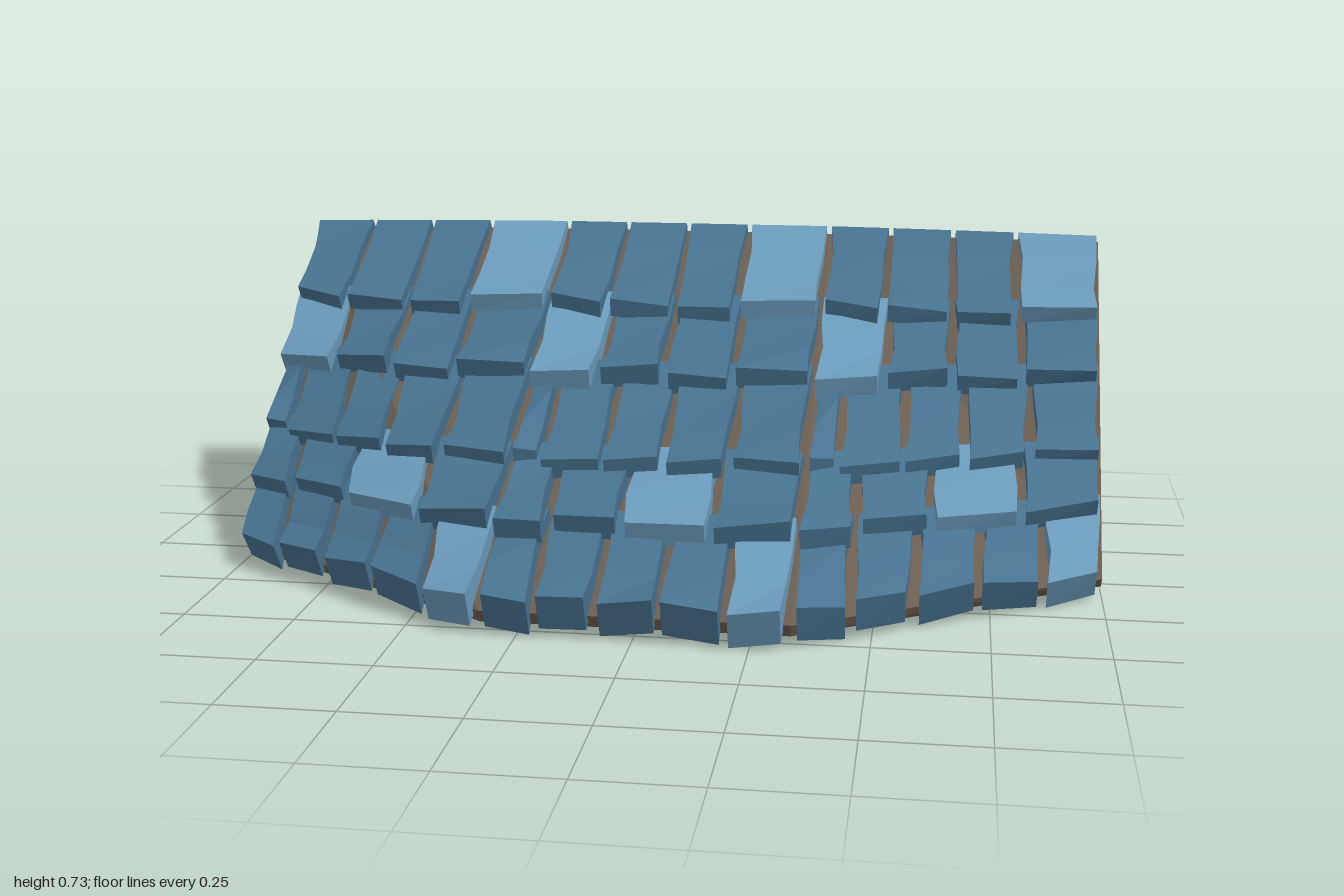
import * as THREE from 'three';

const THIRD = 2 / 3, BOARD = 0.035;
const XS = [-1, -1 / 3, 1 / 3, 1];

// Repeatable noise in -1..1
function noise(...keys) {
  let v = 0;
  keys.forEach((k, i) => { v += k * (12.9898 + i * 37.719); });
  v = Math.sin(v) * 43758.5453;
  return 2 * (v - Math.floor(v)) - 1;
}

// Point on the bent roof: t runs from ridge (0) to eave (1), h is height above the underside
function roofPoint(x, t, h) {
  const u = Math.max(0, (Math.abs(x) - 1 / 3) * 1.5);
  const run = 1.09 - 0.43 * u, rise = 0.665, len = Math.hypot(run, rise);
  let w = u * t;
  if (x < 0) w = (w + Math.max(0, u + t - 1)) / 2; // the left panel folds outward
  return [x, 0.69 - rise * t + (run / len) * h, -0.59 + 1.09 * t - 0.43 * w + (rise / len) * h];
}

// Three-panel wooden deck under the tiles
function deckGeometry() {
  const pos = [], index = [];
  for (const x of XS) for (const t of [0, 1]) for (const h of [0, BOARD]) pos.push(...roofPoint(x, t, h));
  const id = (i, j, k) => i * 4 + j * 2 + k;
  const quad = (a, b, c, d) => index.push(a, b, c, a, c, d);
  for (let i = 0; i < 3; i++) {
    const n = i + 1;
    quad(id(i, 0, 1), id(i, 1, 1), id(n, 1, 1), id(n, 0, 1)); // upper face
    quad(id(i, 0, 0), id(n, 0, 0), id(n, 1, 0), id(i, 1, 0)); // underside
    quad(id(i, 0, 0), id(i, 0, 1), id(n, 0, 1), id(n, 0, 0)); // ridge edge
    quad(id(i, 1, 0), id(n, 1, 0), id(n, 1, 1), id(i, 1, 1)); // eave edge
  }
  quad(id(3, 0, 0), id(3, 0, 1), id(3, 1, 1), id(3, 1, 0)); // side edges
  quad(id(0, 0, 0), id(0, 1, 0), id(0, 1, 1), id(0, 0, 1));
  const g = new THREE.BufferGeometry();
  g.setAttribute('position', new THREE.Float32BufferAttribute(pos, 3));
  g.setIndex(index);
  const flat = g.toNonIndexed();
  flat.computeVertexNormals();
  return flat;
}

// One rough tile: a box bent onto the roof, thicker and lifted at its lower end
function tileGeometry(x0, x1, row, seed) {
  const g = new THREE.BoxGeometry(1, 1, 1, 1, 1, 3).toNonIndexed();
  const p = g.attributes.position;
  for (let i = 0; i < p.count; i++) {
    const side = p.getX(i) > 0 ? 1 : 0, top = p.getY(i) > 0, s = p.getZ(i) + 0.5;
    const st = Math.round(s * 3);
    const sag = 0.008 * Math.sin(Math.PI * s);
    let h = BOARD + (top
      ? row.start + (row.lift - row.start) * s - sag
      : -0.005 + (row.under + 0.005) * s - sag);
    if (st > 0) h += 0.010 * noise(seed, side, st);
    let t = row.t0 + (row.t1 - row.t0) * s;
    if (st === 3) t += 0.014 * noise(seed, side, 7) + (top ? 0 : 0.01);
    let x = side ? x1 - 0.006 : x0 + 0.006;
    if (st > 0) x += (side ? -1 : 1) * 0.006 * (1 + noise(seed, side, st, 3));
    p.setXYZ(i, ...roofPoint(x, t, h));
  }
  g.computeVertexNormals();
  return g;
}

export function createModel() {
  const wood = new THREE.MeshStandardMaterial({ color: 0x6b5d50 });
  wood.name = 'brown wood';
  const blue = new THREE.MeshStandardMaterial({ color: 0x47728f });
  blue.name = 'slate blue';
  const pale = new THREE.MeshStandardMaterial({ color: 0x6a9aba });
  pale.name = 'pale blue';

  const model = new THREE.Group();
  model.name = 'tiledRoof';
  const deck = new THREE.Mesh(deckGeometry(), wood);
  deck.name = 'roofDeck';
  model.add(deck);

  // Rows from ridge to eave; cuts are tile edges inside one panel, light is the pale tile
  const rows = [
    { t0: 0, t1: 0.28, start: 0.025, lift: 0.075, under: 0.03, cuts: [0, 0.155, 0.31, 0.465, THIRD], light: 3 },
    { t0: 0.22, t1: 0.47, start: 0.035, lift: 0.083, under: 0.03, cuts: [0, 0.165, 0.315, 0.48, THIRD], light: 0 },
    { t0: 0.41, t1: 0.69, start: 0.035, lift: 0.078, under: 0.03, cuts: [0, 0.07, 0.215, 0.35, 0.5, THIRD], light: -1 },
    { t0: 0.63, t1: 0.845, start: 0.035, lift: 0.092, under: 0.035, cuts: [0, 0.12, 0.28, 0.48, THIRD], light: 2 },
    { t0: 0.79, t1: 1.015, start: 0.04, lift: 0.072, under: -0.02, cuts: [0, 0.12, 0.25, 0.39, 0.53, THIRD], light: 4 },
  ];
  rows.forEach((row, r) => {
    const group = new THREE.Group();
    group.name = 'tileRow' + (r + 1);
    for (let panel = 0; panel < 3; panel++) {
      for (let k = 0; k < row.cuts.length - 1; k++) {
        const g = tileGeometry(XS[panel] + row.cuts[k], XS[panel] + row.cuts[k + 1], row, r * 10 + k + 1);
        const tile = new THREE.Mesh(g, k === row.light ? pale : blue);
        tile.name = 'roofTile';
        group.add(tile);
      }
    }
    model.add(group);
  });
  return model;
}
